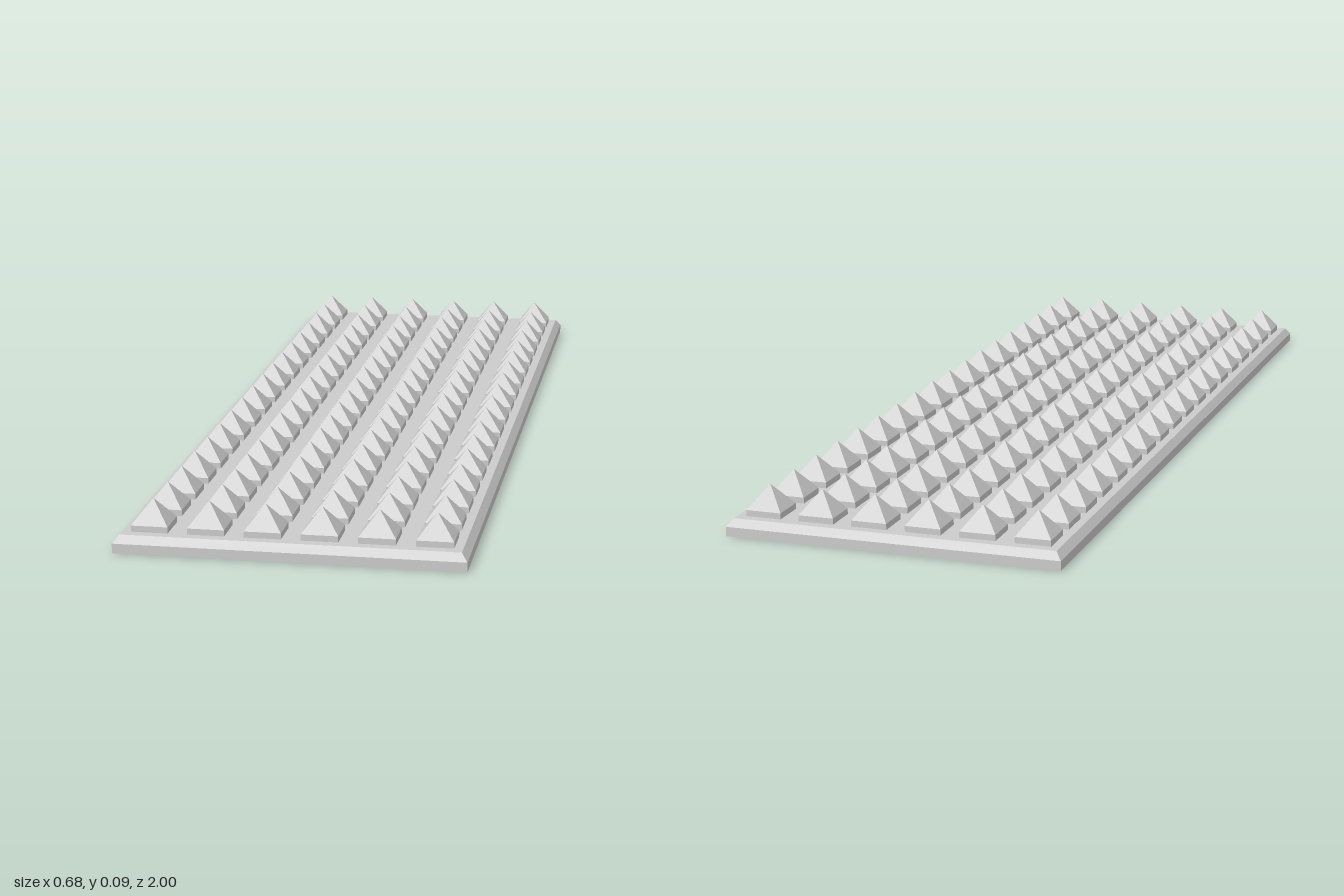
import * as THREE from 'three';

const CORNERS = [[-1, 1], [1, 1], [1, -1], [-1, -1]];

// Solid through rectangular rings [y, halfX, halfZ], listed bottom to top.
// A last ring of zero size closes to a point.
function rectLoft(rings) {
  const pos = [];
  const ringPts = rings.map(([y, hx, hz]) => CORNERS.map(([sx, sz]) => [sx * hx, y, sz * hz]));
  const tri = (a, b, c) => pos.push(...a, ...b, ...c);
  for (let r = 0; r < rings.length - 1; r++) {
    const lo = ringPts[r], hi = ringPts[r + 1];
    for (let i = 0; i < 4; i++) {
      const j = (i + 1) % 4;
      tri(lo[i], lo[j], hi[j]);
      if (rings[r + 1][1] > 0) tri(lo[i], hi[j], hi[i]);
    }
  }
  const b = ringPts[0], t = ringPts[rings.length - 1];
  tri(b[0], b[2], b[1]);
  tri(b[0], b[3], b[2]);
  if (rings[rings.length - 1][1] > 0) {
    tri(t[0], t[1], t[2]);
    tri(t[0], t[2], t[3]);
  }
  const geo = new THREE.BufferGeometry();
  geo.setAttribute('position', new THREE.Float32BufferAttribute(pos, 3));
  geo.computeVertexNormals();
  return geo;
}

export function createModel() {
  const model = new THREE.Group();
  model.name = 'studdedPlate';
  const material = new THREE.MeshStandardMaterial({ color: 0xcccccc, flatShading: true });

  const plateTop = 0.034, bevel = 0.012;
  const halfX = 0.339, halfZ = 1;

  // Flat plate with a bevelled upper rim
  const plate = new THREE.Mesh(rectLoft([
    [0, halfX, halfZ],
    [0.019, halfX, halfZ],
    [plateTop, halfX - bevel, halfZ - bevel],
  ]), material);
  plate.name = 'basePlate';
  model.add(plate);

  // Grid of pyramid studs, each on a short square foot
  const columns = 6, rows = 18, pitch = 0.1096, half = 0.036;
  const studGeometry = rectLoft([
    [plateTop, half, half],
    [0.046, half, half],
    [0.092, 0, 0],
  ]);
  for (let r = 0; r < rows; r++) {
    const row = new THREE.Group();
    row.name = `studRow${r + 1}`;
    row.position.z = (r - (rows - 1) / 2) * pitch;
    for (let c = 0; c < columns; c++) {
      const stud = new THREE.Mesh(studGeometry, material);
      stud.name = 'pyramidStud';
      stud.position.x = (c - (columns - 1) / 2) * pitch;
      row.add(stud);
    }
    model.add(row);
  }
  return model;
}
